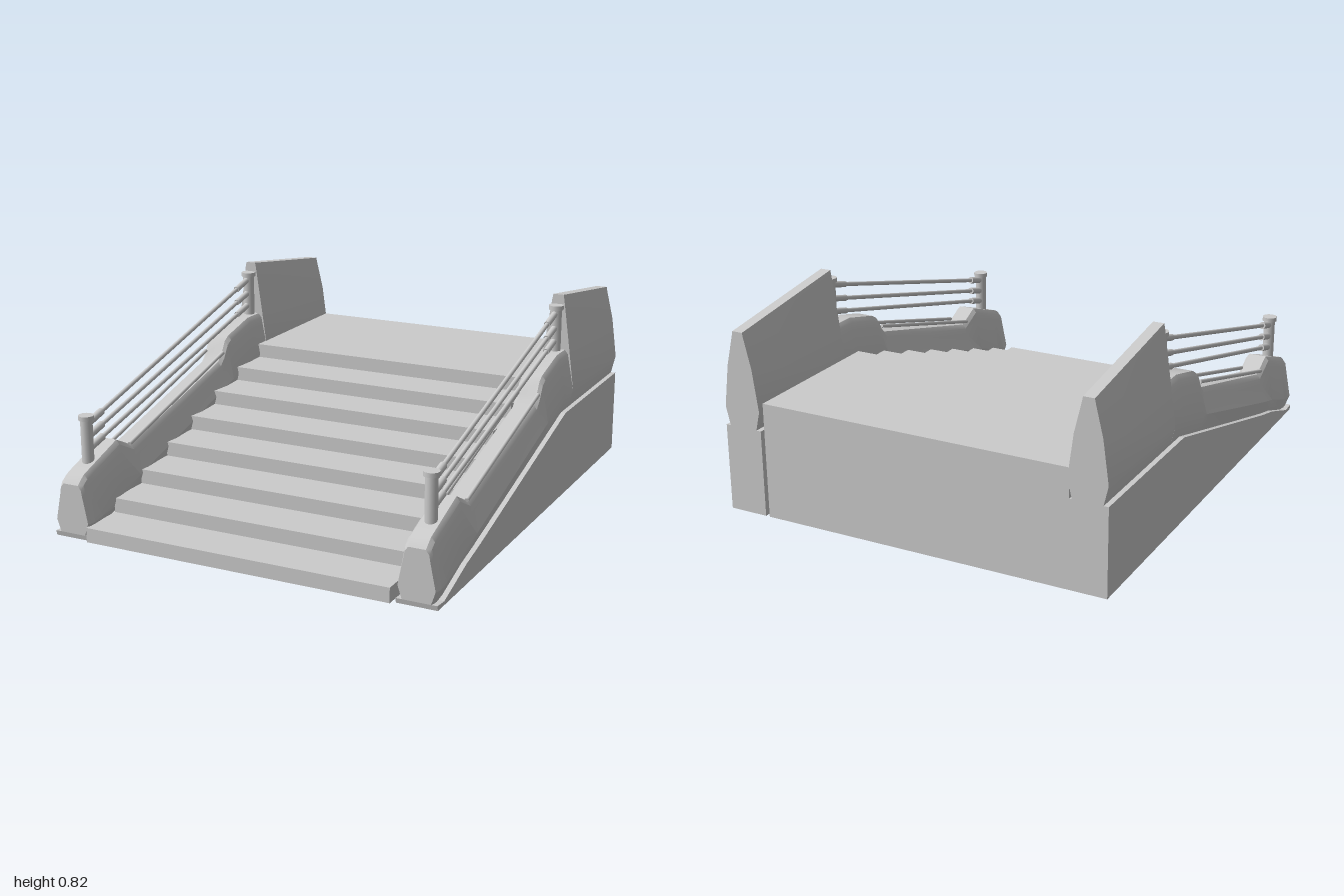
import * as THREE from 'three';
import { toCreasedNormals } from 'three/addons/utils/BufferGeometryUtils.js';

const material = new THREE.MeshStandardMaterial({ color: 0xcccccc });
const WALL_X = 0.725;

function add(parent, name, geometry) {
  const mesh = new THREE.Mesh(geometry, material);
  mesh.name = name;
  parent.add(mesh);
  return mesh;
}

// Extrude a side outline of [z, y] points across x
function sideExtrude(points, xMin, xMax) {
  const shape = new THREE.Shape(points.map(([z, y]) => new THREE.Vector2(z, y)));
  const g = new THREE.ExtrudeGeometry(shape, { depth: xMax - xMin, bevelEnabled: false });
  return g.rotateY(-Math.PI / 2).translate(xMax, 0, 0);
}

// Skin a row of mirrored cross-sections running front to back
function loft(sections) {
  const pos = [], index = [], n = sections[0].half.length * 2;
  for (const { z, half } of sections) {
    for (const [x, y] of half) pos.push(x, y, z);
    for (const [x, y] of [...half].reverse()) pos.push(-x, y, z);
  }
  for (let s = 0; s < sections.length - 1; s++) {
    for (let i = 0; i < n; i++) {
      const j = (i + 1) % n, a = s * n + i, b = s * n + j;
      index.push(a, a + n, b, b, a + n, b + n);
    }
  }
  const last = (sections.length - 1) * n;
  for (let i = 1; i < n - 1; i++) {
    index.push(0, i, i + 1);
    index.push(last, last + i + 1, last + i);
  }
  const g = new THREE.BufferGeometry();
  g.setAttribute('position', new THREE.Float32BufferAttribute(pos, 3));
  g.setIndex(index);
  return toCreasedNormals(g, 0.5);
}

// Round bar between two [z, y] points at a given x
function bar(parent, name, x, from, to, radius) {
  const a = new THREE.Vector3(x, from[1], from[0]);
  const b = new THREE.Vector3(x, to[1], to[0]);
  const mesh = add(parent, name, new THREE.CylinderGeometry(radius, radius, a.distanceTo(b), 12));
  mesh.position.copy(a).lerp(b, 0.5);
  mesh.quaternion.setFromUnitVectors(new THREE.Vector3(0, 1, 0), b.sub(a).normalize());
}

// Lower edge of the wall cladding, [z, y] from front to back
const seam = [[0.99, 0.02], [0.93, 0.015], [0.73, 0.08], [0.6, 0.11], [-0.32, 0.353], [-1, 0.353]];

function seamY(z) {
  for (let i = 0; i < seam.length - 1; i++) {
    const [z0, y0] = seam[i], [z1, y1] = seam[i + 1];
    if (z >= z1) return y0 + (y1 - y0) * (z0 - z) / (z0 - z1);
  }
  return seam[seam.length - 1][1];
}

// Rounded low curb section, and tall tapering rear section
function curb(z, top, width = 1) {
  const y = seamY(z), bulge = y + 0.05 + 0.025 * Math.min(1, (1 - z) / 1.3);
  const half = [[0.06, y], [0.078, bulge], [0.055, top - 0.045], [0.05, top - 0.018], [0.036, top]];
  return { z, half: half.map(([x, h]) => [x * width, h]) };
}
function parapet(z, top) {
  return { z, half: [[0.06, 0.353], [0.078, 0.43], [0.055, 0.6], [0.026, top - 0.02], [0.022, top]] };
}

function makeSide() {
  const side = new THREE.Group();

  // Solid base below the cladding
  add(side, 'wallBase', sideExtrude([[0.985, 0], ...seam, [-1, 0]].reverse(), -0.08, 0.08));

  // Cladding: curb with a dip, then the tall rear parapet
  const curbTops = [[0.975, 0.238], [0.95, 0.255], [0.9, 0.272], [0.73, 0.33], [0.63, 0.28], [0.3, 0.365],
    [-0.05, 0.455], [-0.08, 0.485], [-0.11, 0.535], [-0.14, 0.553], [-0.31, 0.595], [-0.41, 0.595]];
  add(side, 'sideWall', loft([
    curb(0.99, 0.22, 0.93),
    ...curbTops.map(([z, top]) => curb(z, top)),
    parapet(-0.41, 0.825),
    parapet(-1, 0.74),
  ]));

  // Capped posts at both ends of the railing
  for (const [name, z, bottom, top] of [['frontPost', 0.87, 0.25, 0.465], ['rearPost', -0.388, 0.57, 0.785]]) {
    bar(side, name, 0, [z, bottom], [z, top - 0.01], 0.024);
    bar(side, name + 'Cap', 0, [z, top - 0.018], [z, top], 0.031);
  }

  // Three sloping rails with thicker sleeves at their ends
  for (const [y0, y1] of [[0.427, 0.755], [0.375, 0.695], [0.325, 0.64]]) {
    const at = (z) => [z, y0 + (y1 - y0) * (0.87 - z) / 1.258];
    bar(side, 'rail', 0, at(0.87), at(-0.388), 0.009);
    bar(side, 'frontRailSleeve', 0, at(0.86), at(0.77), 0.015);
    bar(side, 'rearRailSleeve', 0, at(-0.28), at(-0.38), 0.013);
  }

  // Slim bars along both edges of the dip
  for (const x of [-0.043, 0.043]) bar(side, 'curbBar', x, [0.65, 0.29], [-0.08, 0.49], 0.008);
  return side;
}

export function createModel() {
  const model = new THREE.Group();
  model.name = 'staircase';

  // Solid flight of eight steps ending in a landing
  const steps = 8, rise = 0.47 / steps, run = 0.192;
  const outline = [[-1, 0], [1, 0]];
  for (let i = 0; i < steps; i++) {
    outline.push([1 - i * run, (i + 1) * rise]);
    outline.push([i < steps - 1 ? 1 - (i + 1) * run : -1, (i + 1) * rise]);
  }
  add(model, 'steps', sideExtrude(outline, -0.655, 0.628));

  // Matching balustrades on both sides
  for (const [name, s] of [['leftBalustrade', 1], ['rightBalustrade', -1]]) {
    const side = makeSide();
    side.name = name;
    side.position.x = s * WALL_X;
    model.add(side);
  }
  return model;
}
